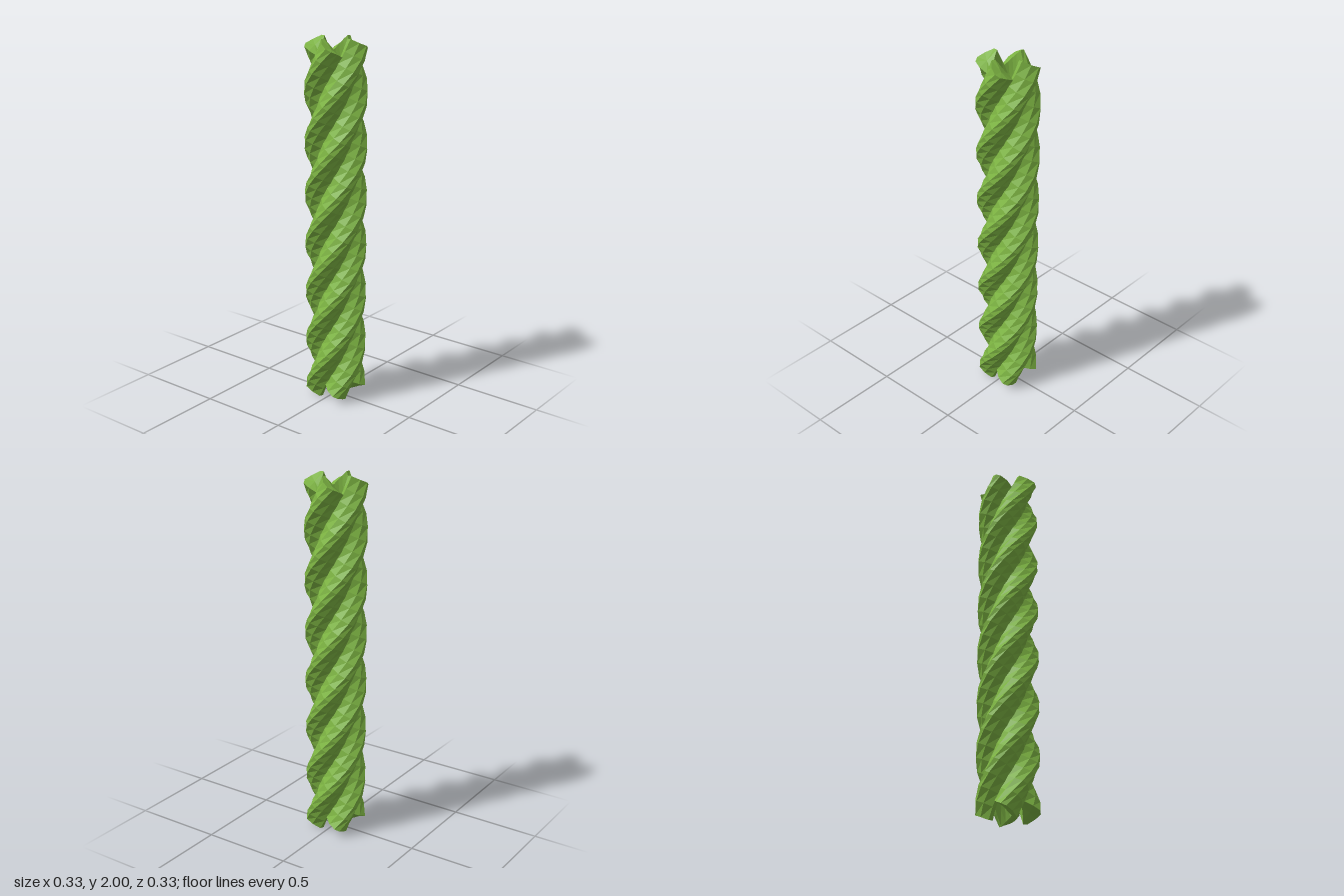
import * as THREE from 'three';

const STRANDS = 4;
const PITCH = 1.112;            // height of one full turn
const R = 0.12;                 // radius of a strand's centre line
const TILT = Math.atan(2 * Math.PI * R / PITCH);
const HALF = 0.08;              // half width of a strand, square to its path
const END = HALF * Math.sin(TILT);
const STEPS = 32;

// strand cross-section: [offset across the strand, distance from the axis]
const SECTION = [
  [-HALF, 0.105], [-0.043, 0.139], [-0.012, 0.165], [0.012, 0.165], [0.043, 0.139], [HALF, 0.105],
  [HALF, 0.083], [0.04, 0.076], [0, 0.074], [-0.04, 0.076], [-HALF, 0.083],
];

// a point of the section carried along the helix, cut square to the path
function place([s, r], t, turn) {
  const yc = END + t * (2 - 2 * END);
  const a = turn + Math.PI / 2 + (yc - 1.88) * 2 * Math.PI / PITCH + s * Math.cos(TILT) / R;
  return [r * Math.sin(a), yc - s * Math.sin(TILT), r * Math.cos(a)];
}

function strandGeometry(turn) {
  const n = SECTION.length, pos = [], index = [];
  for (let j = 0; j <= STEPS; j++) {
    for (const p of SECTION) pos.push(...place(p, j / STEPS, turn));
  }
  for (let j = 0; j < STEPS; j++) {
    for (let i = 0; i < n; i++) {
      const a = j * n + i, b = j * n + (i + 1) % n;
      index.push(a, b, b + n, a, b + n, a + n);
    }
  }
  // end caps
  const low = pos.length / 3, high = low + 1, top = STEPS * n;
  pos.push(...place([0, 0.11], 0, turn), ...place([0, 0.11], 1, turn));
  for (let i = 0; i < n; i++) {
    const k = (i + 1) % n;
    index.push(low, k, i, high, top + i, top + k);
  }
  const g = new THREE.BufferGeometry();
  g.setAttribute('position', new THREE.Float32BufferAttribute(pos, 3));
  g.setIndex(index);
  const flat = g.toNonIndexed();
  flat.computeVertexNormals();
  return flat;
}

export function createModel() {
  const group = new THREE.Group();
  group.name = 'twistedVine';
  const green = new THREE.MeshStandardMaterial({ color: 0x7cb342, flatShading: true });
  for (let k = 0; k < STRANDS; k++) {
    const strand = new THREE.Mesh(strandGeometry(k * 2 * Math.PI / STRANDS), green);
    strand.name = `strand${k + 1}`;
    group.add(strand);
  }
  return group;
}
